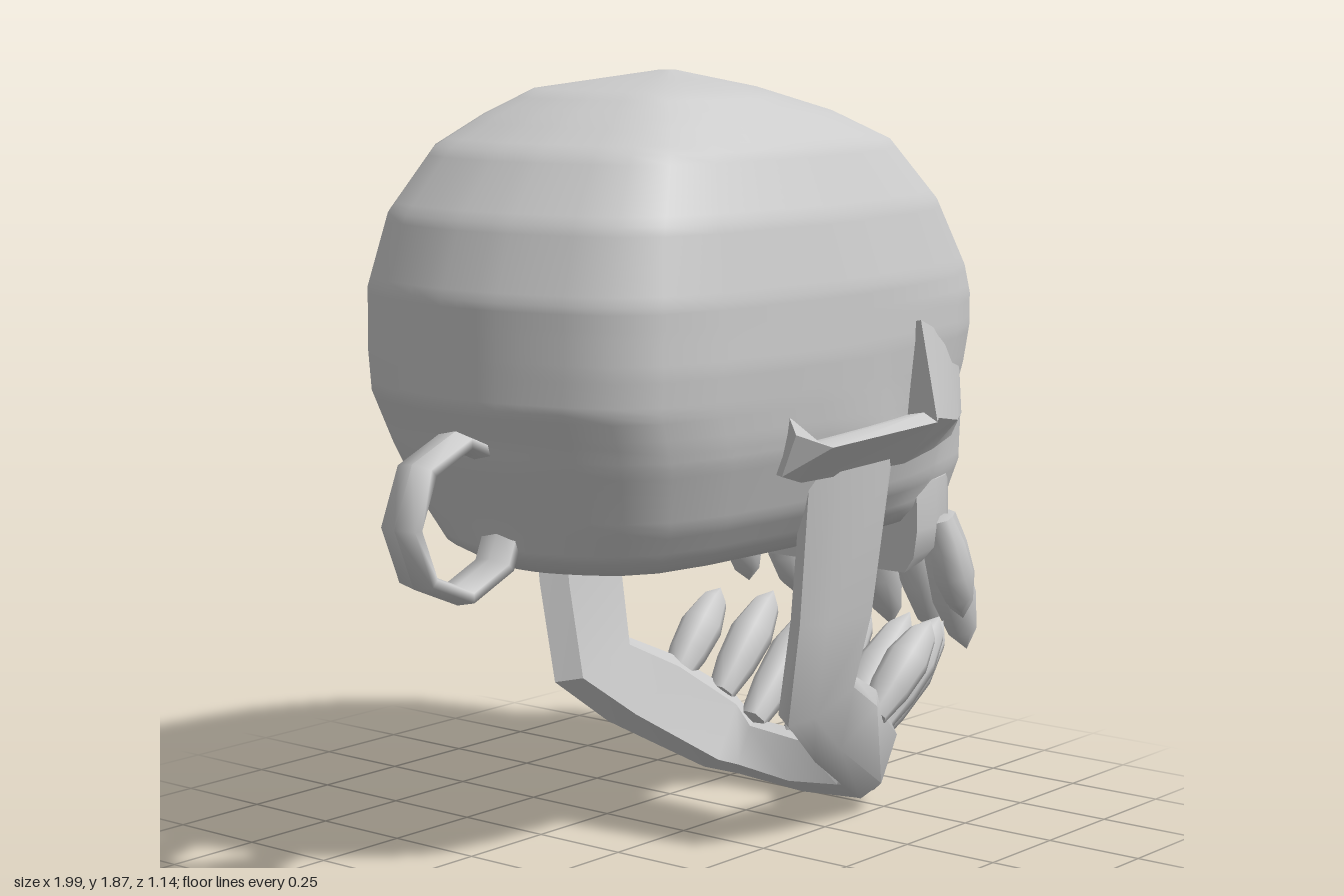
import * as THREE from 'three';
import { toCreasedNormals } from 'three/addons/utils/BufferGeometryUtils.js';

const V = (x, y, z) => new THREE.Vector3(x, y, z);
const material = new THREE.MeshStandardMaterial({ color: 0xcccccc });

// Skin a list of equal-length closed rings, cap both ends, turn faces outward
function loft(rings, crease) {
  const n = rings[0].length, pts = rings.flat(), idx = [];
  for (let r = 0; r < rings.length - 1; r++)
    for (let i = 0; i < n; i++) {
      const a = r * n + i, b = r * n + (i + 1) % n;
      idx.push(a, b, a + n, b, b + n, a + n);
    }
  [0, rings.length - 1].forEach((r, end) => {
    const c = V(0, 0, 0);
    rings[r].forEach(p => c.addScaledVector(p, 1 / n));
    pts.push(c);
    for (let i = 0; i < n; i++) {
      const a = r * n + i, b = r * n + (i + 1) % n;
      end ? idx.push(a, b, pts.length - 1) : idx.push(b, a, pts.length - 1);
    }
  });
  let volume = 0;
  const cross = V(0, 0, 0);
  for (let i = 0; i < idx.length; i += 3)
    volume += pts[idx[i]].dot(cross.crossVectors(pts[idx[i + 1]], pts[idx[i + 2]]));
  if (volume < 0) idx.reverse();
  const g = new THREE.BufferGeometry().setFromPoints(pts);
  g.setIndex(idx);
  g.computeVertexNormals();
  return crease ? toCreasedNormals(g, crease) : g;
}

// Skull slices: height, back x, half width, front corner x, front corner z, front x
const LEVELS = [
  [0.76, -0.58, 0.30, 0.45, 0.30, 0.84], [0.80, -0.65, 0.36, 0.50, 0.33, 0.86],
  [0.88, -0.68, 0.42, 0.55, 0.35, 0.89], [1.03, -0.74, 0.48, 0.60, 0.36, 0.885],
  [1.08, -0.755, 0.49, 0.62, 0.37, 0.80], [1.16, -0.79, 0.50, 0.64, 0.38, 0.76],
  [1.25, -0.79, 0.51, 0.65, 0.39, 0.73], [1.33, -0.79, 0.51, 0.65, 0.39, 0.745],
  [1.40, -0.79, 0.51, 0.64, 0.38, 0.74], [1.57, -0.73, 0.48, 0.53, 0.37, 0.61],
  [1.72, -0.61, 0.41, 0.40, 0.32, 0.49], [1.79, -0.49, 0.33, 0.26, 0.25, 0.35],
  [1.85, -0.37, 0.23, 0.08, 0.16, 0.14], [1.89, -0.08, 0.02, -0.05, 0.015, -0.04],
];

function skullRing([y, xb, w, xs, zs, xf]) {
  const L = xf - xb;
  const half = [[xb + 0.01 * L, 0.3 * w], [xb + 0.085 * L, 0.82 * w], [xb + 0.38 * L, w],
    [xb + 0.62 * L, w * 0.99], [xs, zs], [xf - 0.03 * L, 0.64 * zs]];
  const pts = [V(xb, y, 0), ...half.map(([x, z]) => V(x, y, z)), V(xf, y, 0),
    ...half.reverse().map(([x, z]) => V(x, y, -z))];
  const curve = new THREE.CatmullRomCurve3(pts, true);
  // Coarse columns round the back, fine columns across the face
  const ts = [];
  for (let i = 0; i < 14; i++) ts.push(5 / 14 * i / 14);
  for (let i = 0; i < 52; i++) ts.push(5 / 14 + 4 / 14 * i / 52);
  for (let i = 0; i < 14; i++) ts.push(9 / 14 + 5 / 14 * i / 14);
  return ts.map(t => carve(curve.getPoint(t)));
}

// Push eye sockets and the nasal opening into the face
function carve(p) {
  if (p.x < 0.4) return p;
  const z = Math.abs(p.z), s = THREE.MathUtils.smoothstep;
  const eye = ((z - 0.21) / 0.15) ** 4 + ((p.y - 1.18) / 0.155) ** 4;
  p.x -= 0.2 * (1 - s(eye, 0.25, 1.1));
  const width = 0.075 * Math.min(1, (1.03 - p.y) / 0.13);
  if (p.y > 0.85 && width > 0)
    p.x -= 0.1 * (1 - s(z, width * 0.7, width)) * s(p.y, 0.85, 0.88) * s(z, -0.012, 0.02);
  return p;
}

function skullGeometry() {
  const rings = [];
  for (let i = 0; i < LEVELS.length - 1; i++) {
    const a = LEVELS[i], b = LEVELS[i + 1], n = Math.ceil((b[0] - a[0]) / 0.022);
    for (let k = 0; k < n; k++) rings.push(skullRing(a.map((v, j) => v + (b[j] - v) * k / n)));
  }
  rings.push(skullRing(LEVELS.at(-1)));
  return loft(rings);
}

// Arched gum block under the nose
function upperJawGeometry() {
  const ring = (y, k, slope) => Array.from({ length: 17 }, (_, i) => {
    const a = (i / 16 - 0.5) * Math.PI;
    const x = 0.5 + 0.35 * k * Math.cos(a) ** 0.8;
    return V(x, y + slope * (x - 0.5), 0.34 * k * Math.sin(a));
  });
  return loft([ring(0.86, 1, 0), ring(0.74, 1.01, 0), ring(0.67, 0.98, 0.12), ring(0.63, 0.9, 0.2)], 0.7);
}

// Lower jaw: rear edge x,y, front edge x,y, outer z, inward x,y,z
const JAW = [
  [-0.08, 0.98, 0.25, 0.98, 0.485, 0, 0, -0.1], [-0.07, 0.6, 0.22, 0.6, 0.45, 0, 0, -0.1],
  [-0.06, 0.35, 0.2, 0.43, 0.41, 0, 0, -0.1], [0.1, 0.225, 0.35, 0.36, 0.37, 0, 0, -0.1],
  [0.41, 0.06, 0.52, 0.25, 0.29, -0.04, 0, -0.09], [0.5, 0.025, 0.57, 0.16, 0.21, -0.09, 0.03, -0.05],
  [0.53, 0.005, 0.58, 0.15, 0, -0.11, 0.03, 0],
];
function jawGeometry() {
  const ring = ([ax, ay, bx, by, z, ix, iy, iz], s) =>
    [[0, 0.4], [0.2, 0], [0.8, 0], [1, 0.4], [0.85, 1], [0.15, 1]].map(([t, d]) =>
      V(ax + (bx - ax) * t + ix * d, ay + (by - ay) * t + iy * d, s * (z + iz * d)));
  return loft([...JAW.map(j => ring(j, 1)), ...JAW.slice(0, -1).reverse().map(j => ring(j, -1))], 0.7);
}

// Cheekbone sections: x, then y,z of top inside, ridge, bottom
const CHEEK = [
  [-0.22, 1.12, 0.49, 1.08, 0.51, 0.98, 0.47], [-0.16, 1.06, 0.53, 1.05, 0.57, 0.96, 0.48],
  [0.27, 1.08, 0.52, 1.06, 0.56, 0.95, 0.46], [0.275, 1.3, 0.505, 1.07, 0.56, 0.95, 0.46],
  [0.45, 1.25, 0.45, 1.04, 0.495, 0.96, 0.42], [0.62, 1.17, 0.38, 1.03, 0.39, 0.97, 0.36],
];
const cheekGeometry = s => loft(CHEEK.map(([x, ty, tz, my, mz, by, bz]) => [
  V(x, ty, s * tz), V(x, my, s * mz), V(x, by, s * bz), V(x, by + 0.02, s * (bz - 0.1)),
  V(x, ty - 0.02, s * (tz - 0.1))]), 0.5);

// Teeth: root x,y,z, tip x,y,z, radius
const UPPER = [
  [0.84, 0.75, 0.06, 0.975, 0.37, 0.07, 0.062], [0.8, 0.73, 0.185, 0.925, 0.35, 0.21, 0.06],
  [0.72, 0.75, 0.27, 0.81, 0.46, 0.275, 0.052], [0.62, 0.76, 0.33, 0.7, 0.5, 0.345, 0.052],
];
const LOWER = [
  [0.53, 0.13, 0.065, 0.87, 0.44, 0.065, 0.065], [0.5, 0.17, 0.18, 0.83, 0.44, 0.2, 0.062],
  [0.46, 0.24, 0.255, 0.71, 0.48, 0.27, 0.06], [0.35, 0.29, 0.32, 0.57, 0.5, 0.34, 0.058],
];
function toothGeometry([x0, y0, z0, x1, y1, z1, r], s) {
  const root = V(x0, y0, s * z0), axis = V(x1, y1, s * z1).sub(root), len = axis.length();
  const profile = [[0, 0], [0.6, 0.02], [0.9, 0.3], [1, 0.6], [0.65, 0.86], [0, 1]];
  const g = new THREE.LatheGeometry(profile.map(([a, b]) => new THREE.Vector2(a * r, b * len)), 7);
  g.applyQuaternion(new THREE.Quaternion().setFromUnitVectors(V(0, 1, 0), axis.normalize()));
  g.translate(root.x, root.y, root.z);
  return toCreasedNormals(g, 0.95);
}

export function createModel() {
  const group = new THREE.Group();
  const add = (name, geometry) => {
    const mesh = new THREE.Mesh(geometry, material);
    mesh.name = name;
    group.add(mesh);
  };
  add('skull', skullGeometry());
  add('upperJaw', upperJawGeometry());
  add('lowerJaw', jawGeometry());
  for (const [side, s] of [['left', 1], ['right', -1]]) {
    add(side + 'Cheekbone', cheekGeometry(s));
    UPPER.forEach((t, i) => add(`${side}UpperTooth${i + 1}`, toothGeometry(t, s)));
    LOWER.forEach((t, i) => add(`${side}LowerTooth${i + 1}`, toothGeometry(t, s)));
  }
  // Hanging ring at the back of the head
  const ring = new THREE.TorusGeometry(0.175, 0.023, 6, 8);
  ring.scale(1, 1, 2.6);
  ring.translate(-0.802, 0.91, 0);
  ring.computeVertexNormals();
  add('hangingRing', ring);
  return group;
}
